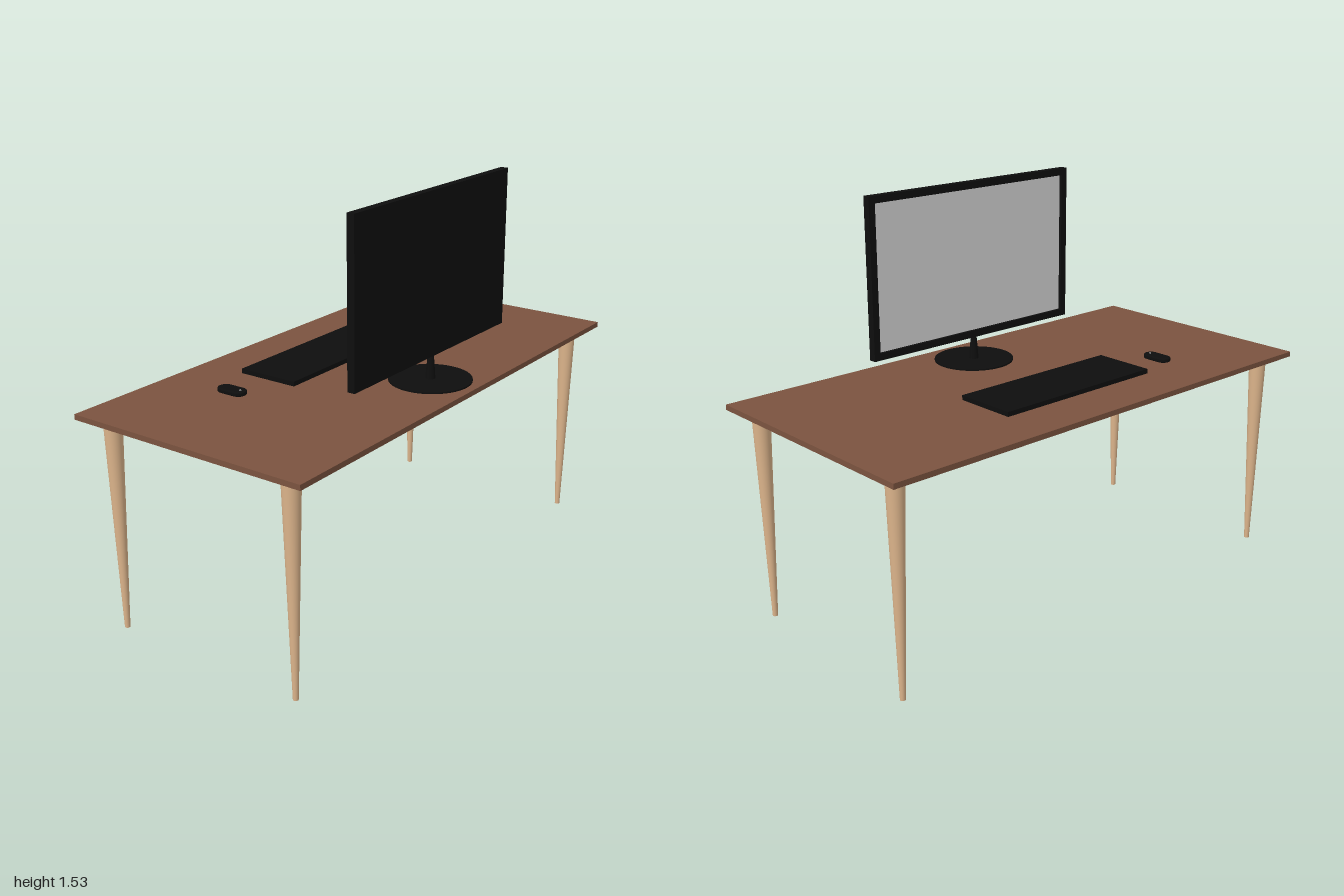
import * as THREE from 'three';

const mat = (name, color) => {
  const m = new THREE.MeshStandardMaterial({ color });
  m.name = name;
  return m;
};

export function createModel() {
  const walnut = mat('walnut', 0x7b533f);
  const paleWood = mat('paleWood', 0xdcb48b);
  const black = mat('blackPlastic', 0x0e0e0e);
  const grey = mat('screenGrey', 0xd4d4d4);

  const group = new THREE.Group();
  group.name = 'desk';
  const add = (name, geometry, material, x, y, z, parent = group) => {
    const mesh = new THREE.Mesh(geometry, material);
    mesh.name = name;
    mesh.position.set(x, y, z);
    parent.add(mesh);
    return mesh;
  };

  // Table top and four tapered legs
  const topY = 0.83;
  add('tableTop', new THREE.BoxGeometry(2, 0.02, 0.98), walnut, 0, topY - 0.01, 0);
  const legGeo = new THREE.CylinderGeometry(0.034, 0.01, 0.81, 32);
  for (const sx of [-1, 1]) {
    for (const sz of [-1, 1]) add('leg', legGeo, paleWood, 0.92 * sx, 0.405, 0.39 * sz);
  }

  // Monitor: bezel frame around a recessed screen, facing the user at -z
  const monitor = new THREE.Group();
  monitor.name = 'monitor';
  monitor.position.set(0, 0, 0.303);
  group.add(monitor);
  const w = 0.98, h = 0.61, depth = 0.03, bezel = 0.027, recess = 0.014, midY = 1.23;
  const rect = (Type, rw, rh) => new Type([
    new THREE.Vector2(-rw / 2, -rh / 2), new THREE.Vector2(rw / 2, -rh / 2),
    new THREE.Vector2(rw / 2, rh / 2), new THREE.Vector2(-rw / 2, rh / 2),
  ]);
  const frame = rect(THREE.Shape, w, h);
  frame.holes.push(rect(THREE.Path, w - 2 * bezel, h - 2 * bezel));
  const frameGeo = new THREE.ExtrudeGeometry(frame, { depth: recess, bevelEnabled: false });
  add('bezel', frameGeo, black, 0, midY, -depth / 2, monitor);
  add('casing', new THREE.BoxGeometry(w, h, depth - recess), black, 0, midY, recess / 2, monitor);
  add('screen', new THREE.BoxGeometry(w - 2 * bezel, h - 2 * bezel, 0.002), grey,
    0, midY, -depth / 2 + recess - 0.001, monitor);

  // Round stand with a tapered neck
  add('standBase', new THREE.CylinderGeometry(0.155, 0.155, 0.006, 48), black, 0, topY + 0.003, 0, monitor);
  add('standNeck', new THREE.CylinderGeometry(0.011, 0.019, 0.1, 24), black, 0, topY + 0.052, 0, monitor);

  // Keyboard slab
  add('keyboard', new THREE.BoxGeometry(0.715, 0.018, 0.245), black, 0, topY + 0.012, -0.172);

  // Mouse: rounded slot shape with softened edges, and a small wheel
  const r = 0.025, half = 0.03, bevel = 0.005;
  const slot = new THREE.Shape();
  slot.absarc(0, half, r, 0, Math.PI, false);
  slot.absarc(0, -half, r, Math.PI, 2 * Math.PI, false);
  const mouseGeo = new THREE.ExtrudeGeometry(slot, {
    depth: 0.007, bevelEnabled: true, bevelSize: bevel, bevelThickness: bevel, bevelSegments: 4, curveSegments: 16,
  });
  mouseGeo.rotateX(-Math.PI / 2);
  const mouse = new THREE.Group();
  mouse.name = 'mouse';
  mouse.position.set(-0.528, topY, -0.193);
  group.add(mouse);
  add('mouseBody', mouseGeo, black, 0, bevel, 0, mouse);
  const wheel = new THREE.CylinderGeometry(0.005, 0.005, 0.005, 16).rotateZ(Math.PI / 2);
  add('mouseWheel', wheel, grey, 0, 0.0145, 0.038, mouse);

  return group;
}
